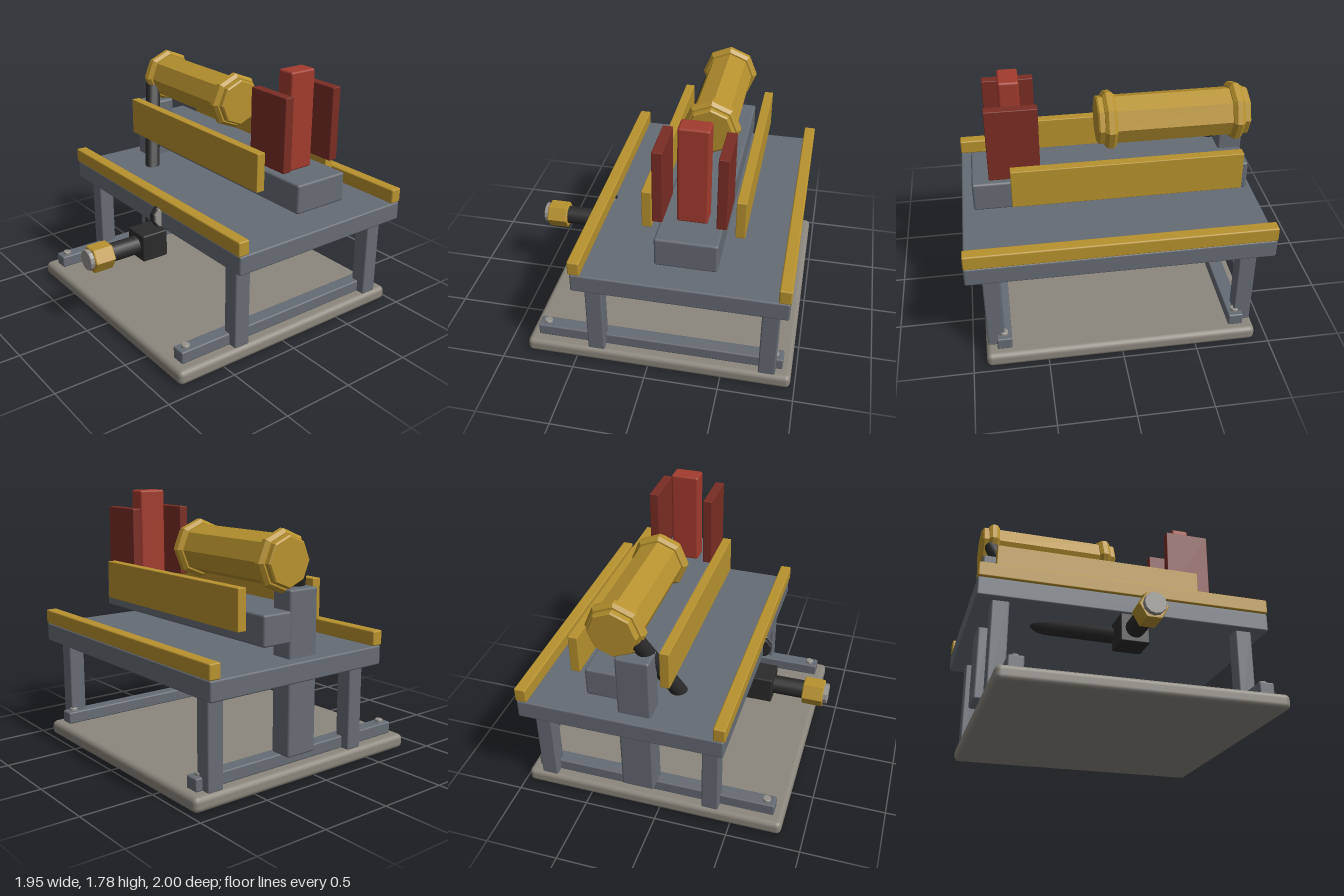
import * as THREE from 'three';
import { RoundedBoxGeometry } from 'three/addons/geometries/RoundedBoxGeometry.js';

const mat = (name, color, flatShading = false) => {
  const m = new THREE.MeshStandardMaterial({ color, flatShading });
  m.name = name;
  return m;
};

export function createModel() {
  const model = new THREE.Group();
  model.name = 'workbenchMachine';

  const slate = mat('slateSteel', 0x666c74);
  const stone = mat('warmStone', 0x8b867d);
  const gold = mat('goldPaint', 0xb8922e);
  const red = mat('redPaint', 0xa23b2e);
  const darkRed = mat('darkRedPaint', 0x7a2d24);
  const black = mat('blackRubber', 0x2b2b2b);
  const steel = mat('paleSteel', 0x95928d);

  const add = (name, geometry, material) => {
    const mesh = new THREE.Mesh(geometry, material);
    mesh.name = name;
    model.add(mesh);
    return mesh;
  };

  // Softened box given by its extents on each axis
  const box = (name, material, [x0, x1], [y0, y1], [z0, z1], r = 0.01) => {
    const geo = new RoundedBoxGeometry(x1 - x0, y1 - y0, z1 - z0, 2, r);
    geo.translate((x0 + x1) / 2, (y0 + y1) / 2, (z0 + z1) / 2);
    return add(name, geo, material);
  };

  // Faceted prism with bevelled rims, lying along x, y or z
  const prism = (name, material, axis, sides, r, from, to, a, b, bevel = 0.012) => {
    const h = (to - from) / 2;
    const profile = [[0, -h], [r - bevel, -h], [r, -h + bevel], [r, h - bevel], [r - bevel, h], [0, h]]
      .map(([x, y]) => new THREE.Vector2(x, y));
    const geo = new THREE.LatheGeometry(profile, sides).toNonIndexed();
    geo.computeVertexNormals();
    const mid = (from + to) / 2;
    if (axis === 'x') geo.rotateZ(Math.PI / 2).translate(mid, a, b);
    else if (axis === 'z') geo.rotateX(Math.PI / 2).translate(a, b, mid);
    else geo.translate(a, mid, b);
    return add(name, geo, material);
  };

  // Floor slab and table top
  box('baseSlab', stone, [-0.85, 0.97], [0, 0.1], [-0.91, 0.91], 0.035);
  box('tableTop', slate, [-0.47, 0.925], [0.69, 0.82], [-1, 1], 0.012);

  // Foot rails, bolts and legs, front and back
  for (const s of [1, -1]) {
    const span = (a, b) => [a * s, b * s].sort((p, q) => p - q);
    box('footRail', slate, [-0.785, 0.91], [0.1, 0.185], span(0.735, 0.835));
    for (const x of [-0.725, 0.85]) prism('bolt', steel, 'y', 12, 0.028, 0.18, 0.205, x, 0.785 * s, 0.004);
    for (const x of [-0.357, 0.808]) box('leg', slate, [x - 0.057, x + 0.057], [0.1, 0.7], span(0.78, 0.895));
  }

  // Rear column and the bed it carries
  box('rearColumn', slate, [0.03, 0.255], [0.18, 1.25], [-0.915, -0.755], 0.015);
  box('bed', slate, [0.06, 0.46], [0.92, 1.12], [-0.912, 0.912], 0.015);

  // Edge rails and side guards
  for (const x of [-0.48, 0.85]) box('edgeRail', gold, [x, x + 0.08], [0.82, 0.92], [-1, 1]);
  for (const x of [-0.072, 0.53]) box('sideGuard', gold, [x, x + 0.063], [1.02, 1.285], [-0.83, 0.665], 0.005);

  // Upright ram with its cheek plates
  box('ram', red, [0.162, 0.36], [1.12, 1.785], [0.57, 0.7], 0.015);
  for (const x of [0.028, 0.428]) box('cheekPlate', darkRed, [x, x + 0.065], [1.17, 1.665], [0.47, 0.8], 0.005);

  // Pressure cylinder with two collars
  prism('cylinderBody', gold, 'z', 8, 0.164, -0.914, 0.083, 0.26, 1.42, 0.01);
  for (const [z0, z1] of [[-0.872, -0.795], [-0.038, 0.042]])
    prism('cylinderCollar', gold, 'z', 8, 0.198, z0, z1, 0.26, 1.42, 0.022);

  // Hose bending beneath the table to the valve
  const top = new THREE.Vector3(0.135, 1.38, -0.85);
  const bend = new THREE.Vector3(-0.1, 0.69, -0.53);
  const end = new THREE.Vector3(-0.44, 0.53, 0);
  const before = bend.clone().lerp(top, 0.08);
  const after = bend.clone().lerp(end, 0.08);
  const hosePath = new THREE.CurvePath();
  hosePath.add(new THREE.LineCurve3(top, before));
  hosePath.add(new THREE.QuadraticBezierCurve3(before, bend, after));
  hosePath.add(new THREE.LineCurve3(after, end));
  add('hose', new THREE.TubeGeometry(hosePath, 48, 0.054, 12), black);

  // Valve block, inlet pipe, hex nut and open tip
  box('valveBlock', black, [-0.585, -0.39], [0.44, 0.632], [-0.097, 0.097]);
  const pipe = new THREE.CylinderGeometry(0.065, 0.065, 0.24, 16);
  pipe.rotateZ(Math.PI / 2).translate(-0.69, 0.535, 0);
  add('inletPipe', pipe, black);
  prism('hexNut', gold, 'x', 6, 0.096, -0.945, -0.798, 0.532, 0, 0.006);
  prism('inletTip', steel, 'x', 12, 0.072, -0.975, -0.935, 0.535, 0, 0.004);

  // Dial set into the table edge
  prism('dialHousing', black, 'z', 10, 0.083, 0.09, 0.135, -0.445, 0.765, 0.006);
  prism('dialFace', steel, 'z', 10, 0.075, 0.13, 0.153, -0.445, 0.765, 0.004);

  return model;
}
